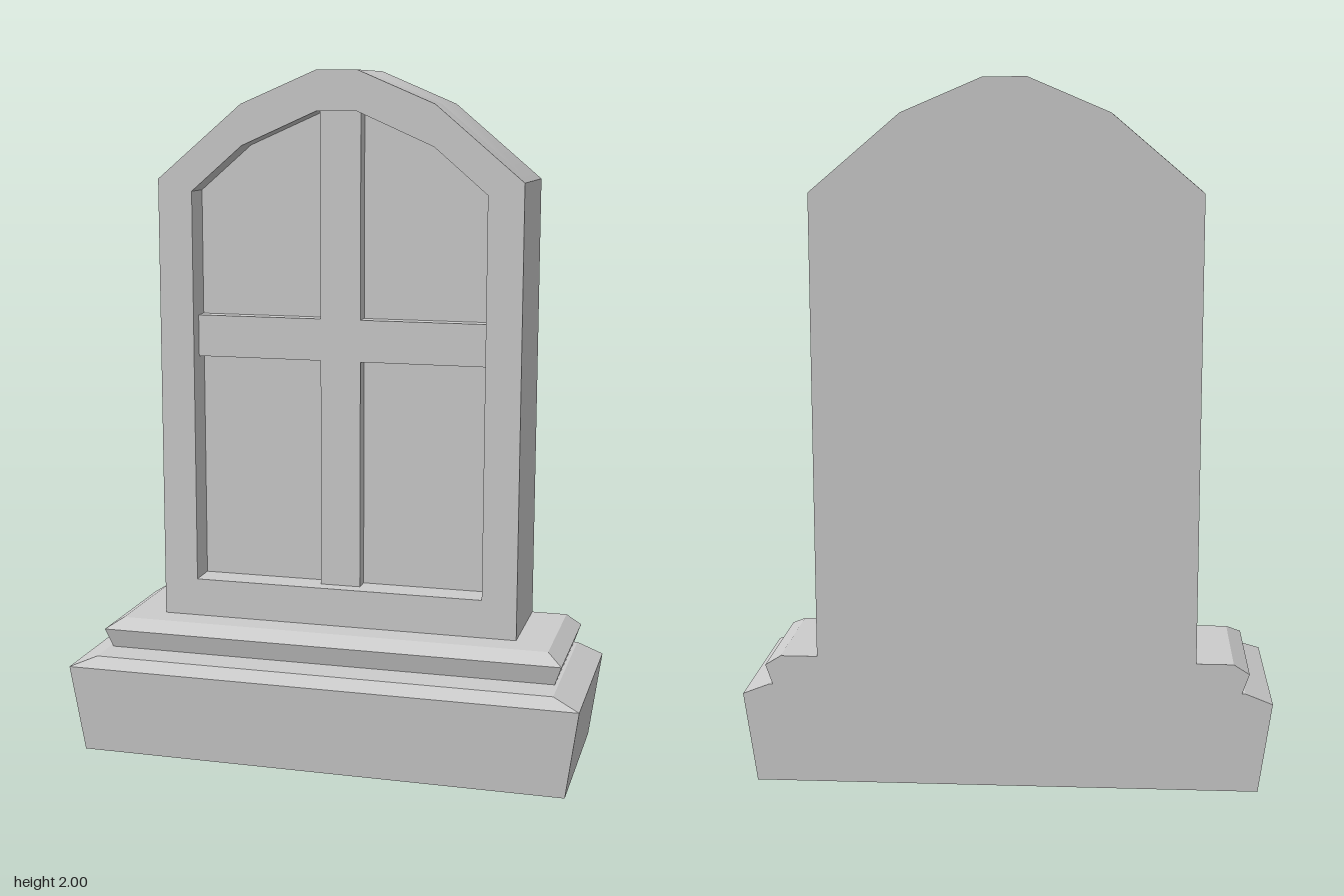
import * as THREE from 'three';
import { toCreasedNormals } from 'three/addons/utils/BufferGeometryUtils.js';

const BACK = -0.27, FRONT = 0.03, PANEL = -0.06, CROSS = -0.015;

// Symmetric outline from its right half, listed bottom to top
function mirrored(half) {
  const left = half.map(([x, y]) => [-x, y]).reverse();
  return [...half, ...left].map(([x, y]) => new THREE.Vector2(x, y));
}

// Extrude an outline between two depths, smooth over the arch and sharp elsewhere
function slab(shape, z0, z1) {
  const geo = new THREE.ExtrudeGeometry(shape, { depth: z1 - z0, bevelEnabled: false });
  geo.translate(0, 0, z0);
  return toCreasedNormals(geo, 0.6);
}

// Stack of rectangles [y, halfWidth, frontZ], all sharing the flat back plane
function plinth(levels) {
  const pos = [];
  const quad = (a, b, c, d) => pos.push(...a, ...b, ...c, ...a, ...c, ...d);
  const rings = levels.map(([y, w, z]) => [[-w, y, z], [w, y, z], [w, y, BACK], [-w, y, BACK]]);
  for (let i = 0; i < rings.length - 1; i++) {
    const lo = rings[i], hi = rings[i + 1];
    for (let k = 0; k < 4; k++) {
      const n = (k + 1) % 4;
      quad(lo[k], lo[n], hi[n], hi[k]);
    }
  }
  const bottom = rings[0], top = rings[rings.length - 1];
  quad(bottom[3], bottom[2], bottom[1], bottom[0]);
  quad(top[0], top[1], top[2], top[3]);
  const geo = new THREE.BufferGeometry();
  geo.setAttribute('position', new THREE.Float32BufferAttribute(pos, 3));
  geo.computeVertexNormals();
  return geo;
}

export function createModel() {
  const group = new THREE.Group();
  const material = new THREE.MeshStandardMaterial({ color: 0xcccccc });
  const add = (name, geo) => {
    const mesh = new THREE.Mesh(geo, material);
    mesh.name = name;
    group.add(mesh);
  };

  // Stepped base
  add('lowerPlinth', plinth([[0, 0.72, 0.25], [0.26, 0.757, 0.27], [0.29, 0.68, 0.24]]));
  add('upperPlinth', plinth([[0.29, 0.67, 0.14], [0.347, 0.69, 0.155], [0.375, 0.645, 0.11]]));

  // Arched stone: solid back and raised frame around the recess
  const outer = mirrored([[0.54, 0.375], [0.54, 1.69], [0.285, 1.905], [0.06, 2]]);
  const inner = mirrored([[0.437, 0.488], [0.437, 1.655], [0.283, 1.787], [0.06, 1.885]]);
  add('stoneBack', slab(new THREE.Shape(outer), BACK, PANEL));
  const frame = new THREE.Shape(outer);
  frame.holes.push(new THREE.Path(inner));
  add('stoneFrame', slab(frame, PANEL, FRONT));

  // Raised cross dividing the recess
  const cross = mirrored([[0.06, 0.488], [0.06, 1.165], [0.437, 1.165],
    [0.437, 1.288], [0.06, 1.288], [0.06, 1.885]]);
  add('cross', slab(new THREE.Shape(cross), PANEL, CROSS));

  return group;
}
